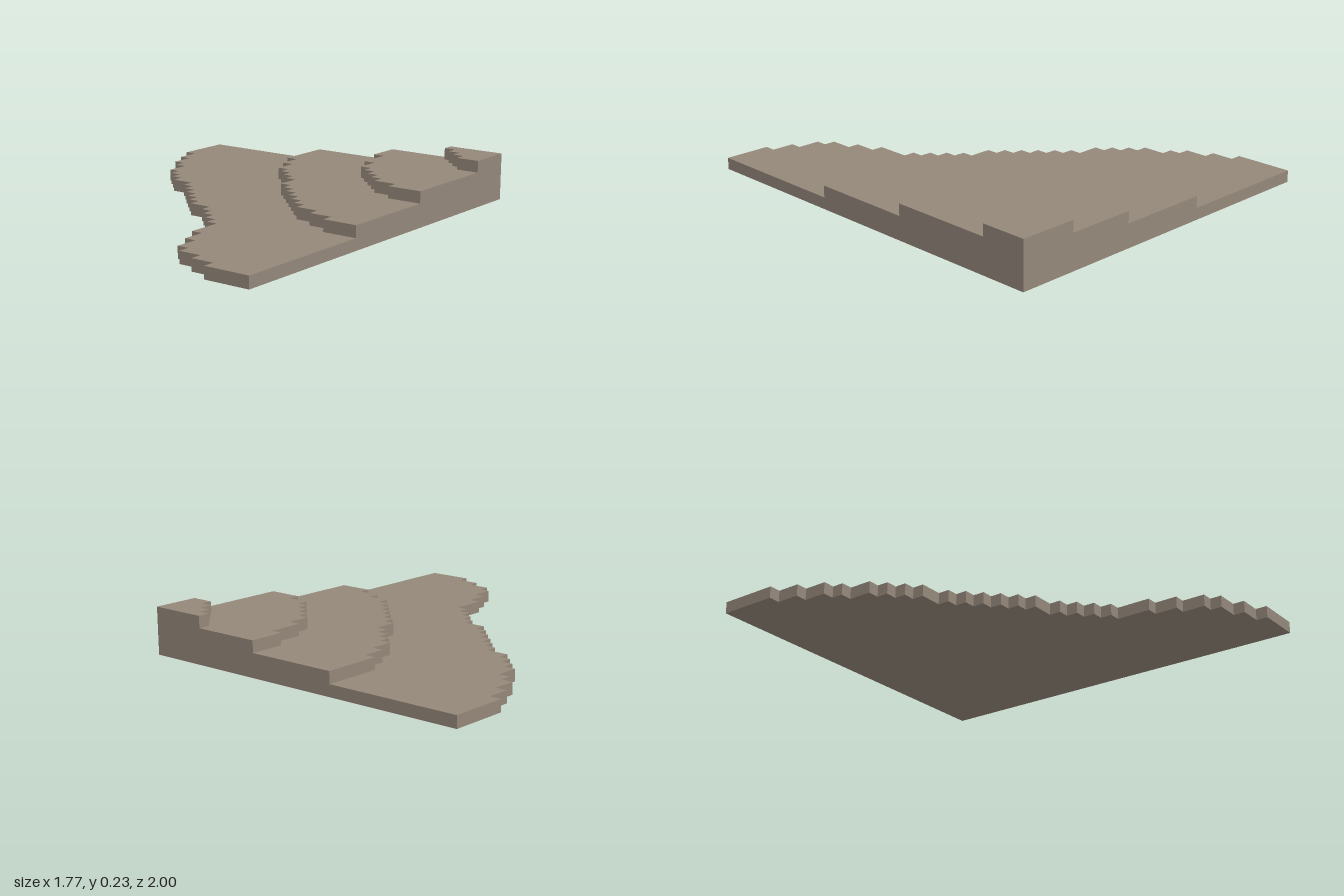
import * as THREE from 'three';

const U = 2 / 35;          // one grid cell
const COLS = 31, ROWS = 35;

// Each terrace: [first column, last row] pairs walking from the back edge to the front.
const TERRACES = [
  [[0, 5], [1, 7], [2, 9], [3, 10], [4, 12], [5, 13], [6, 14], [7, 15], [9, 16], [10, 17], [11, 18], [12, 19],
    [13, 20], [14, 21], [16, 22], [17, 23], [18, 24], [19, 25], [20, 28], [21, 30], [22, 32], [23, 33], [25, 34], [27, 35]],
  [[12, 5], [13, 7], [14, 9], [15, 10], [16, 11], [17, 12], [18, 14], [19, 15], [20, 16], [21, 17], [22, 18],
    [23, 19], [24, 20], [26, 21], [28, 22]],
  [[20, 3], [21, 6], [22, 8], [23, 9], [24, 10], [25, 11], [26, 12], [28, 13]],
  [[26, 1], [27, 2], [28, 3], [29, 4]],
];
const NAMES = ['baseTerrace', 'lowerTerrace', 'upperTerrace', 'summitTerrace'];

// Stepped outline, closed along the straight left and back edges.
function terraceGeometry(steps) {
  const point = (col, row) => new THREE.Vector2((col - COLS / 2) * U, (ROWS / 2 - row) * U);
  const outline = [point(COLS, 0)];
  let row = 0;
  for (const [col, end] of steps) {
    outline.push(point(col, row), point(col, end));
    row = end;
  }
  outline.push(point(COLS, row));
  const geometry = new THREE.ExtrudeGeometry(new THREE.Shape(outline), { depth: U, bevelEnabled: false });
  return geometry.rotateX(-Math.PI / 2);
}

export function createModel() {
  const group = new THREE.Group();
  group.name = 'terracedHill';
  const stone = new THREE.MeshStandardMaterial({ color: 0x94877a });
  stone.name = 'stone';

  // Stack the terraces one cell high each
  TERRACES.forEach((steps, level) => {
    const mesh = new THREE.Mesh(terraceGeometry(steps), stone);
    mesh.name = NAMES[level];
    mesh.position.y = level * U;
    group.add(mesh);
  });
  return group;
}
